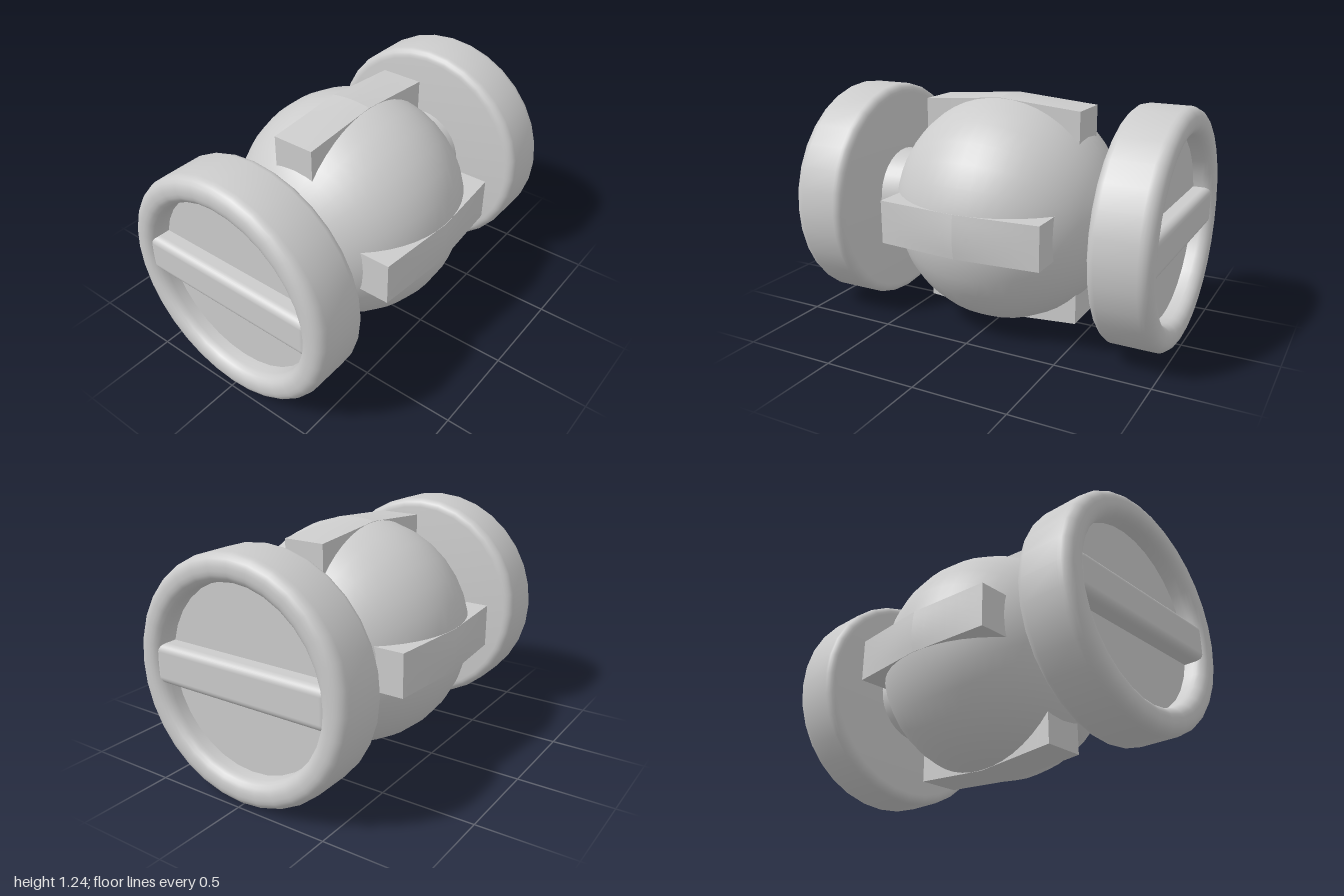
import * as THREE from 'three';
import { toCreasedNormals } from 'three/addons/utils/BufferGeometryUtils.js';
import { RoundedBoxGeometry } from 'three/addons/geometries/RoundedBoxGeometry.js';

const R = 0.62; // shared radius of ball and end discs
const SIDES = 32;
const material = new THREE.MeshStandardMaterial({ color: 0xcccccc });

function part(name, geometry) {
  const mesh = new THREE.Mesh(geometry, material);
  mesh.name = name;
  return mesh;
}

// Quarter arc of profile points around (r, z), from angle a to b
function arc(r, z, rr, rz, a, b, steps = 5) {
  return Array.from({ length: steps + 1 }, (_, i) => {
    const t = a + ((b - a) * i) / steps;
    return new THREE.Vector2(r + rr * Math.cos(t), z + rz * Math.sin(t));
  });
}

// Revolve a (radius, z) profile around the z axis
function revolve(points) {
  return toCreasedNormals(new THREE.LatheGeometry(points, SIDES).rotateX(Math.PI / 2), 0.6);
}

// Tab running along +z on top of the ball: flat at its end, blending into the ball at z = 0
function tabGeometry() {
  const end = 0.45, half = 0.115, endHeight = 0.575;
  const g = new THREE.BoxGeometry(2 * half, 1, end, 6, 1, 6);
  const p = g.attributes.position;
  for (let i = 0; i < p.count; i++) {
    const x = p.getX(i), z = p.getZ(i) + end / 2;
    const crown = Math.sqrt((R + 0.002) ** 2 - x * x);
    const top = THREE.MathUtils.lerp(crown, endHeight, z / end);
    p.setXYZ(i, x, p.getY(i) > 0 ? top : 0.3, z);
  }
  g.computeVertexNormals();
  return g;
}

// End disc: rounded rim, recessed face and a crossbar
function endDisc() {
  const disc = new THREE.Group();
  disc.name = 'endDisc';
  const H = Math.PI / 2;
  disc.add(part('rim', revolve([
    new THREE.Vector2(0, 0.69),
    ...arc(0.57, 0.735, 0.05, 0.045, -H, 0),
    ...arc(0.56, 0.94, 0.06, 0.06, 0, H),
    ...arc(0.54, 0.94, 0.06, 0.06, H, 2 * H),
    new THREE.Vector2(0.48, 0.89),
    new THREE.Vector2(0, 0.89),
  ])));
  const bar = part('crossbar', new RoundedBoxGeometry(1.04, 0.21, 0.16, 4, 0.04));
  bar.position.z = 0.905;
  disc.add(bar);
  return disc;
}

export function createModel() {
  const model = new THREE.Group();
  model.name = 'model';
  const body = new THREE.Group();
  body.name = 'body';
  body.position.y = 0.625;
  model.add(body);

  // Ball with a short neck at each end
  const a = Math.acos(0.24 / R);
  body.add(part('ballAndNecks', revolve([
    new THREE.Vector2(0.25, -0.7),
    new THREE.Vector2(0.243, -0.62),
    ...arc(0, 0, R, R, -a, a, 20),
    new THREE.Vector2(0.243, 0.62),
    new THREE.Vector2(0.25, 0.7),
  ])));

  const tab = toCreasedNormals(tabGeometry(), 0.6);
  for (let side = 0; side < 2; side++) {
    const half = new THREE.Group();
    half.name = side ? 'backHalf' : 'frontHalf';
    half.rotation.y = side * Math.PI;
    half.add(endDisc());
    // Four tabs around the ball
    for (let i = 0; i < 4; i++) {
      const mesh = part('tab', tab);
      mesh.rotation.z = (i * Math.PI) / 2;
      half.add(mesh);
    }
    body.add(half);
  }
  return model;
}
